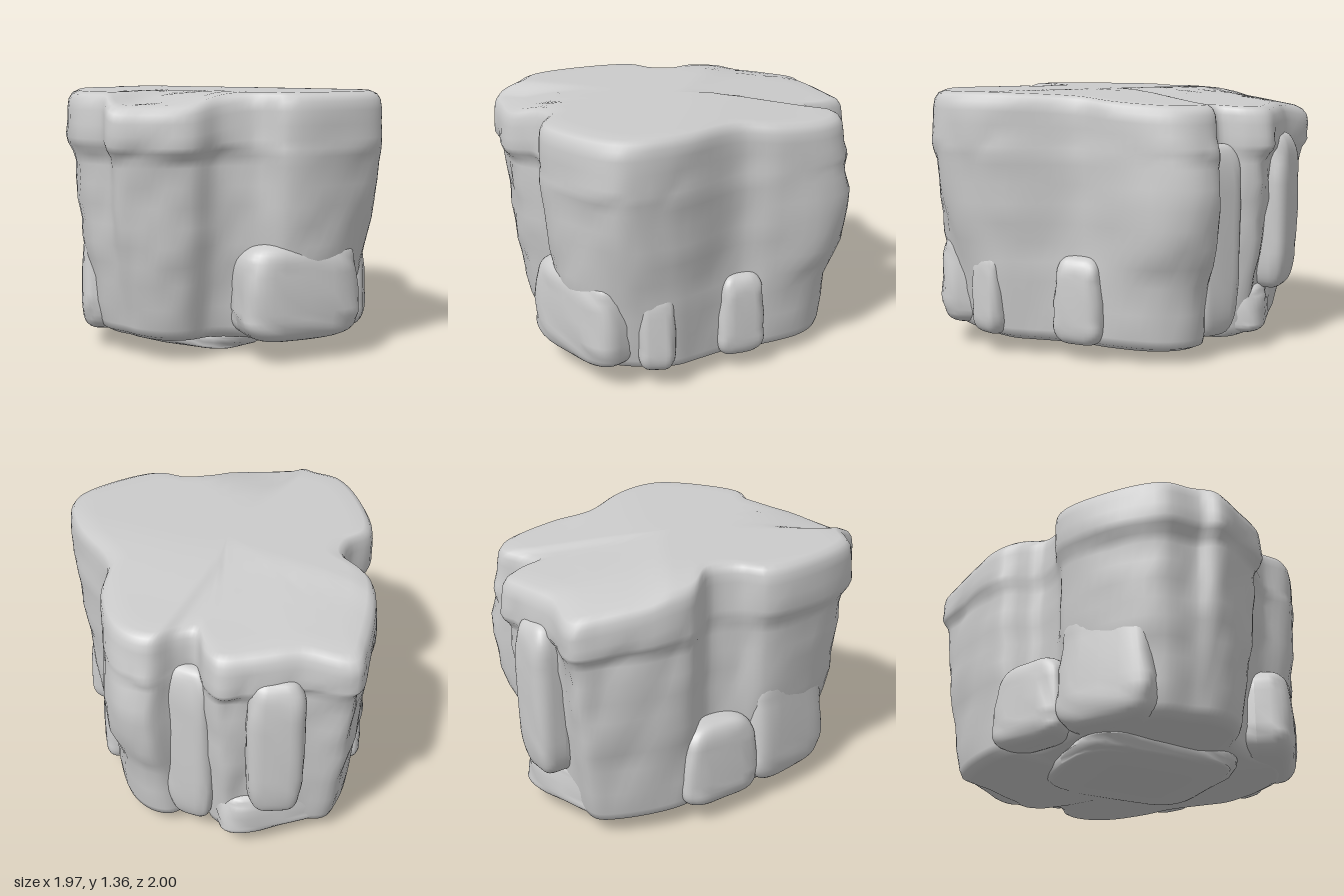
import * as THREE from 'three';

const material = new THREE.MeshStandardMaterial({ color: 0xcccccc });
const smooth = THREE.MathUtils.smoothstep;

// Plan outline, each entry: rim x, rim z, foot x, foot z
const OUTLINE = [
  [0, 1, 0.02, 0.8], [0.15, 0.93, 0.15, 0.78], [0.35, 0.8, 0.24, 0.7], [0.42, 0.64, 0.3, 0.56],
  [0.54, 0.53, 0.46, 0.46], [0.72, 0.5, 0.66, 0.42], [0.9, 0.27, 0.79, 0.25], [0.975, 0.06, 0.8, 0.05],
  [0.95, -0.05, 0.77, -0.08], [0.86, -0.17, 0.72, -0.2], [0.75, -0.27, 0.64, -0.28], [0.47, -0.46, 0.46, -0.46],
  [0.38, -0.67, 0.36, -0.62], [0.2, -0.88, 0.2, -0.79], [0.06, -0.94, 0.05, -0.85], [-0.05, -0.92, -0.06, -0.83],
  [-0.12, -0.81, -0.13, -0.74], [-0.2, -0.76, -0.2, -0.7], [-0.3, -0.86, -0.28, -0.76], [-0.4, -0.91, -0.38, -0.78],
  [-0.52, -0.84, -0.46, -0.72], [-0.63, -0.76, -0.58, -0.65], [-0.74, -0.68, -0.68, -0.58], [-0.97, -0.6, -0.82, -0.5],
  [-0.96, -0.45, -0.84, -0.38], [-0.89, -0.15, -0.8, -0.12], [-0.81, 0, -0.74, 0], [-0.63, 0.1, -0.6, 0.08],
  [-0.6, 0.25, -0.55, 0.25], [-0.66, 0.4, -0.5, 0.4], [-0.5, 0.7, -0.4, 0.6], [-0.28, 0.91, -0.22, 0.76],
  [-0.1, 0.93, -0.08, 0.78],
];

// Side profile: height, blend from foot to rim, inset scale
const PROFILE = [
  [0.03, 0, 0.45], [0.055, 0, 0.7], [0.085, 0, 0.93], [0.11, 0, 0.99], [0.15, 0.05, 1], [0.27, 0.14, 1], [0.4, 0.28, 1],
  [0.5, 0.4, 1], [0.6, 0.52, 1], [0.7, 0.58, 1], [0.8, 0.62, 1], [0.9, 0.65, 1], [1, 0.7, 1], [1.05, 0.76, 1],
  [1.09, 0.9, 1], [1.13, 0.98, 1], [1.2, 1, 1], [1.27, 1, 1], [1.315, 1, 0.992], [1.345, 1, 0.97],
  [1.36, 1, 0.93], [1.36, 1, 0.82], [1.36, 1, 0.66], [1.36, 1, 0.48], [1.36, 1, 0.3], [1.36, 1, 0.14],
];

// Gentle chipped relief, between -1 and 1
function relief(x, y, z) {
  const a = Math.sin(7 * x + 3 * Math.sin(5 * y + 2 * z));
  const b = Math.sin(9 * z - 4 * y + 2 * Math.sin(6 * x));
  const c = Math.sin(11 * y + 2 * Math.sin(3 * x - 4 * z));
  return (Math.abs(a) + Math.abs(b) + Math.abs(c)) * 0.66 - 1;
}

// Lowering of the top surface toward the back, the left block and the prow
function topDrop(x, z) {
  const back = 0.06 * smooth(-z, 0.1, 0.95);
  const left = 0.05 * smooth(-x, 0.6, 1) + 0.02 * smooth(-x, 0.05, 0.12) * smooth(-z, 0.1, 0.25);
  const prow = 0.06 * smooth(z, 0.5, 0.85) * smooth(x, -0.1, 0.05);
  return back + left + prow;
}

function mainRock() {
  const loop = (i) => new THREE.CatmullRomCurve3(
    OUTLINE.map((p) => new THREE.Vector3(p[i], 0, p[i + 1])), true, 'centripetal',
  ).getPoints(OUTLINE.length * 5).slice(0, -1);
  const rim = loop(0), foot = loop(2), n = rim.length;
  const pos = [], index = [];
  const p = new THREE.Vector3();
  for (const [y, w, s] of PROFILE) {
    for (let i = 0; i < n; i++) {
      // The overhanging ledge only belongs to the prow and the left block
      const ledged = Math.max(smooth(rim[i].z, 0.5, 0.7), smooth(-rim[i].x, 0.2, 0.5));
      const plain = Math.min(1, w + 0.2 * smooth(y, 0.55, 0.9));
      // Belly on the back block
      const belly = smooth(-rim[i].z, 0.65, 0.85) * smooth(rim[i].x, -0.2, -0.05)
        * smooth(y, 0.35, 0.68) * (1 - smooth(y, 0.75, 1.3));
      p.lerpVectors(foot[i], rim[i], THREE.MathUtils.lerp(plain, w, ledged) + 0.75 * belly);
      const wall = smooth(y, 0.1, 0.3) * (1 - smooth(y, 1.1, 1.3));
      const k = s * (1 + 0.02 * wall * relief(p.x, y, p.z));
      const x = p.x * k, z = p.z * k;
      const h = y - topDrop(x, z) * smooth(y, 0.95, 1.3) + 0.03 * z * (1 - smooth(y, 0.1, 0.4));
      pos.push(x, h, z);
    }
  }
  for (let r = 0; r < PROFILE.length - 1; r++) {
    for (let i = 0; i < n; i++) {
      const a = r * n + i, b = r * n + (i + 1) % n;
      index.push(a, b, b + n, a, b + n, a + n);
    }
  }
  // Close the underside and the top
  const last = (PROFILE.length - 1) * n, c = pos.length / 3;
  pos.push(0, 0.025, 0, 0, 1.36, 0);
  for (let i = 0; i < n; i++) {
    const j = (i + 1) % n;
    index.push(c, j, i, c + 1, last + i, last + j);
  }
  const g = new THREE.BufferGeometry();
  g.setAttribute('position', new THREE.Float32BufferAttribute(pos, 3));
  g.setIndex(index);
  g.computeVertexNormals();
  return g;
}

// Rounded, slightly chipped block; taper narrows its top
function boulder(name, [x, y, z], [a, b, c], turn = 0, taper = 0.15, tilt = 0) {
  const g = new THREE.SphereGeometry(1, 36, 24);
  const at = g.attributes.position, v = new THREE.Vector3();
  const box = (t) => Math.sign(t) * Math.pow(Math.abs(t), 0.5);
  for (let i = 0; i < at.count; i++) {
    v.fromBufferAttribute(at, i);
    v.set(box(v.x), box(v.y), box(v.z));
    const k = (1 - taper * (v.y + 1) / 2) * (1 + 0.05 * relief(v.x * 0.4 + x, v.y * 0.4, v.z * 0.4 + z));
    at.setXYZ(i, v.x * k * a, v.y * b, v.z * k * c);
  }
  g.computeVertexNormals();
  const m = new THREE.Mesh(g, material);
  m.name = name;
  m.position.set(x, y, z);
  m.rotation.set(0, turn, tilt);
  return m;
}

export function createModel() {
  const group = new THREE.Group();
  group.name = 'rock';
  const body = new THREE.Mesh(mainRock(), material);
  body.name = 'mainRock';
  group.add(
    body,
    // Slab under the foot
    boulder('footSlab', [-0.04, 0.06, 0.12], [0.42, 0.06, 0.38], 0, -0.1),
    // Boulders leaning on the left flank
    boulder('leftBoulder', [0.62, 0.36, 0.28], [0.33, 0.26, 0.2], 0.95, 0.05),
    boulder('leftSmallBoulder', [0.71, 0.33, -0.08], [0.14, 0.23, 0.1], 0.3, 0.1),
    boulder('backLeftBoulder', [0.42, 0.31, -0.45], [0.13, 0.23, 0.14], 0.6),
    // Slabs against the right side of the prow
    boulder('prowSlab', [-0.4, 0.43, 0.53], [0.29, 0.34, 0.13], -0.95, 0.2),
    boulder('rightWedge', [-0.64, 0.32, 0.14], [0.25, 0.23, 0.12], -1.1, 0.2),
    // Broken ledges at the back
    boulder('backLedge', [-0.17, 0.6, -0.74], [0.13, 0.5, 0.11], 0, -0.1),
    boulder('backCorner', [-0.6, 0.72, -0.7], [0.14, 0.42, 0.13], 0.5, -0.05),
    boulder('backFoot', [-0.5, 0.21, -0.52], [0.33, 0.14, 0.21], 0.785, 0.1),
  );
  return group;
}
